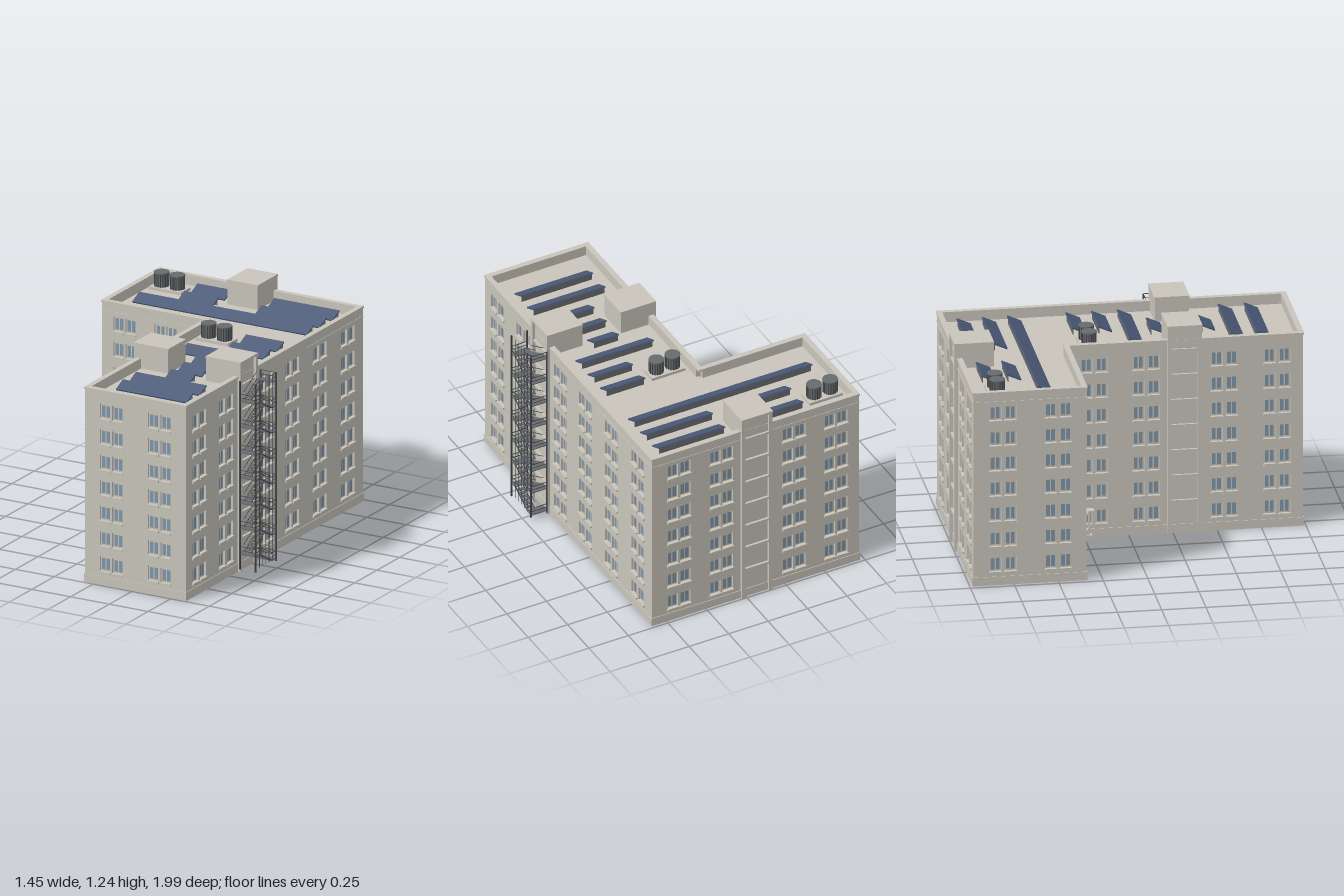
import * as THREE from 'three';
import { mergeGeometries } from 'three/addons/utils/BufferGeometryUtils.js';

const FLOORS = 7, STOREY = 0.15, FIRST_SILL = 0.07, TOP = 1.15, DECK = 1.09, WALL = 0.027;
const X0 = -0.72, XM = -0.06, X1 = 0.59, Z0 = -0.98, ZM = -0.34, Z1 = 0.985;

export function createModel() {
  const mat = (name, color) => Object.assign(new THREE.MeshStandardMaterial({ color }), { name });
  const masonry = mat('masonry', 0xc9c5bb);
  const glass = mat('window glass', 0x7f96a8);
  const solar = mat('solar blue', 0x4b5a78);
  const metal = mat('grey metal', 0x686b6e);
  const iron = mat('dark iron', 0x45484b);

  const model = new THREE.Group();
  model.name = 'apartmentBlock';

  // Helpers: placed box, beam between two points, merged mesh
  const box = (w, h, d, x, y, z) => new THREE.BoxGeometry(w, h, d).translate(x, y, z);
  const span = (xa, xb, ya, yb, za, zb) =>
    box(xb - xa, yb - ya, zb - za, (xa + xb) / 2, (ya + yb) / 2, (za + zb) / 2);
  const beam = (a, b, t) => {
    const p = new THREE.Vector3(...a), q = new THREE.Vector3(...b);
    const o = new THREE.Object3D();
    o.position.copy(p).add(q).multiplyScalar(0.5);
    o.lookAt(q);
    o.updateMatrix();
    return new THREE.BoxGeometry(t, t, p.distanceTo(q)).applyMatrix4(o.matrix);
  };
  const add = (name, geometry, material, parent = model) => {
    const geo = Array.isArray(geometry) ? mergeGeometries(geometry) : geometry;
    const mesh = new THREE.Mesh(geo, material);
    mesh.name = name;
    parent.add(mesh);
    return mesh;
  };

  // L-shaped plan grown by o, as (x, -z) points
  const plan = (o) => [
    [X0 - o, ZM + o], [XM - o, ZM + o], [XM - o, Z1 + o],
    [X1 + o, Z1 + o], [X1 + o, Z0 - o], [X0 - o, Z0 - o],
  ].map(([x, z]) => new THREE.Vector2(x, -z));
  const slab = (outer, inner, y, h) => {
    const shape = new THREE.Shape(plan(outer));
    if (inner !== null) shape.holes.push(new THREE.Path(plan(inner)));
    return new THREE.ExtrudeGeometry(shape, { depth: h, bevelEnabled: false })
      .rotateX(-Math.PI / 2).translate(0, y, 0);
  };
  add('roofDeck', slab(-0.01, null, DECK - 0.02, 0.02), masonry);
  add('parapetCoping', slab(0.005, -WALL, TOP - 0.012, 0.012), masonry);
  add('plinth', slab(0.004, -WALL - 0.003, 0, 0.05), masonry);

  // Thin string course around the rear wing
  add('stringCourse', [
    span(X0 - 0.003, XM, DECK - 0.003, DECK + 0.003, ZM, ZM + 0.003),
    span(X0 - 0.003, X1 + 0.003, DECK - 0.003, DECK + 0.003, Z0 - 0.003, Z0),
    span(X0 - 0.003, X0, DECK - 0.003, DECK + 0.003, Z0, ZM),
    span(X1, X1 + 0.003, DECK - 0.003, DECK + 0.003, Z0, ZM),
  ], masonry);

  // A wall with real window openings; local +z faces outward
  const W = 0.066, H = 0.097;
  function facade(name, x, z, length, angle, columns, skip = () => false) {
    const wall = new THREE.Group();
    wall.name = name;
    wall.position.set(x, 0, z);
    wall.rotation.y = angle;
    const shape = new THREE.Shape([[-1, 0], [1, 0], [1, TOP - 0.006], [-1, TOP - 0.006]]
      .map(([u, v]) => new THREE.Vector2(u * length / 2, v)));
    const frames = [], panes = [], sills = [];
    for (const u of columns) for (let i = 0; i < FLOORS; i++) {
      if (skip(u, i)) continue;
      const y = FIRST_SILL + i * STOREY, l = u - W / 2, r = u + W / 2;
      shape.holes.push(new THREE.Path([[l, y], [l, y + H], [r, y + H], [r, y]]
        .map((p) => new THREE.Vector2(...p))));
      frames.push(box(W, H, 0.006, u, y + H / 2, -0.016));
      sills.push(box(W + 0.008, 0.012, 0.026, u, y + 0.004, -0.004));
      for (const s of [-1, 1]) panes.push(box(0.021, 0.066, 0.009, u + s * 0.0145, y + 0.052, -0.016));
    }
    add('wall', new THREE.ExtrudeGeometry(shape, { depth: WALL, bevelEnabled: false })
      .translate(0, 0, -WALL), masonry, wall);
    add('windowFrames', frames, masonry, wall);
    add('windowPanes', panes, glass, wall);
    add('windowSills', sills, masonry, wall);
    model.add(wall);
  }

  // Window columns come in pairs around each centre
  const pairs = (centres, gap) => centres.flatMap((c) => [c - gap / 2, c + gap / 2]);
  const local = (columns, centre, sign) => columns.map((c) => (c - centre) * sign);
  const frontZ = [0.838, 0.54, 0.099, -0.195], rearZ = [-0.5, -0.812];
  const xc = (X0 + X1) / 2, zc = (Z0 + Z1) / 2, half = Math.PI / 2;
  const wingX = (XM + X1) / 2, rearX = (X0 + XM) / 2, rearMid = (Z0 + ZM) / 2, frontMid = (ZM + Z1) / 2;
  facade('frontWall', wingX, Z1, X1 - XM, 0, local(pairs([0.108, 0.418], 0.08), wingX, 1));
  facade('rearWingFrontWall', rearX, ZM, XM - X0, 0,
    local([...pairs([-0.575, -0.31], 0.077), -0.11], rearX, 1), (u, i) => i === 0 && u + rearX > -0.2);
  facade('leftHandWall', X1, zc, Z1 - Z0, half, local(pairs([...frontZ, ...rearZ], 0.085), zc, -1));
  facade('backWall', xc, Z0, X1 - X0, Math.PI,
    local(pairs([0.418, 0.15, -0.31, -0.575], 0.08), xc, -1));
  facade('rearWingEndWall', X0, rearMid, ZM - Z0, -half, local(pairs(rearZ, 0.085), rearMid, 1));
  facade('courtWall', XM, frontMid, Z1 - ZM, -half, local(pairs(frontZ, 0.085), frontMid, 1));

  // Stair shafts: rooftop hut, twin pilasters and a ledge on each floor
  for (const [name, x, z, angle] of [
    ['backShaft', -0.067, Z0, Math.PI], ['courtShaft', XM, 0.315, -half], ['escapeShaft', X1, 0.315, half],
  ]) {
    const shaft = new THREE.Group();
    shaft.name = name;
    shaft.position.set(x, 0, z);
    shaft.rotation.y = angle;
    add('hut', span(-0.097, 0.097, DECK - 0.01, 1.225, -0.203, 0.003), masonry, shaft);
    add('hutCap', span(-0.099, 0.099, 1.222, 1.236, -0.205, 0.02), masonry, shaft);
    add('pilasters', [-1, 1].map((s) => box(0.022, 1.225, 0.024, s * 0.086, 0.6125, 0.007)), masonry, shaft);
    add('ledges', Array.from({ length: FLOORS }, (_, i) =>
      box(0.152, 0.014, 0.018, 0, 0.19 + i * STOREY, 0.005)), masonry, shaft);
    model.add(shaft);
  }

  // Corner entrance porch with stepped plan
  const porch = (inset, y0, y1) => [
    span(-0.18 + inset, XM, y0, y1, ZM, -0.285 - inset),
    span(-0.145 + inset, XM, y0, y1, ZM, -0.24 - inset),
    span(-0.11 + inset, XM, y0, y1, ZM, -0.2 - inset),
  ];
  add('porchCanopy', porch(0, 0.163, 0.174), masonry);
  add('porchSteps', [...porch(0.01, 0, 0.025), ...porch(0.022, 0.025, 0.055)], masonry);
  add('porchPosts', [[-0.152, -0.312], [-0.088, -0.228], [-0.117, -0.268]].map(([x, z]) =>
    box(0.008, 0.11, 0.008, x, 0.109, z)), masonry);
  add('porchDoor', box(0.06, 0.095, 0.008, -0.105, 0.103, ZM + 0.002), glass);

  // Solar panels: [z centre, x start, x end], low edge towards the front
  const rows = [
    [-0.845, -0.42, -0.2], [-0.845, 0.075, 0.495], [-0.702, -0.42, -0.2], [-0.702, 0.075, 0.495],
    [-0.56, -0.63, 0.495], [-0.23, 0.25, 0.495], [-0.085, 0.25, 0.495], [0.06, 0.04, 0.495],
    [0.2, 0.185, 0.345], [0.345, 0.185, 0.345], [0.487, 0.185, 0.345], [0.63, 0.04, 0.495], [0.775, 0.04, 0.495],
  ];
  const panels = [], racks = [];
  for (const [z, a, b] of rows) {
    panels.push(new THREE.BoxGeometry(b - a, 0.008, 0.086).rotateX(0.42).translate((a + b) / 2, DECK + 0.026, z));
    racks.push(box(b - a - 0.01, 0.036, 0.004, (a + b) / 2, DECK + 0.018, z - 0.033));
  }
  add('solarPanels', panels, solar);
  add('panelRacks', racks, metal);

  // Rooftop cooling units in pairs on a pad
  for (const [x, z] of [[-0.568, -0.828], [0.096, -0.207]]) {
    add('coolerPad', box(0.21, 0.018, 0.105, x, DECK + 0.008, z), masonry);
    for (const s of [-1, 1]) {
      const drum = add('coolerDrum', new THREE.CylinderGeometry(0.04, 0.04, 0.09, 18), metal);
      drum.position.set(x + s * 0.051, 1.143, z);
      const fins = [];
      for (let i = 0; i < 18; i++) {
        fins.push(box(0.005, 0.082, 0.004, 0, 1.141, 0.041).rotateY(i * Math.PI / 9).translate(x + s * 0.051, 0, z));
      }
      add('coolerFins', fins, iron);
      add('coolerLid', new THREE.CylinderGeometry(0.044, 0.044, 0.006, 18), metal).position.set(x + s * 0.051, 1.187, z);
    }
  }

  // Fire escape: switchback flights between two stacks of landings
  const xa = 0.615, xm = 0.667, xb = 0.719, zNear = 0.39, zFar = 0.25;
  const treads = [], landings = [], rails = [], posts = [];
  const flight = (x0, x1, za, ya, zb, yb) => {
    for (let k = 1; k < 7; k++) {
      const t = k / 7, z = za + (zb - za) * t, y = ya + (yb - ya) * t;
      treads.push(span(x0 + 0.003, x1 - 0.003, y - 0.002, y + 0.002, z - 0.011, z + 0.011));
    }
    for (const x of [x0 + 0.003, x1 - 0.003]) {
      rails.push(beam([x, ya, za], [x, yb, zb], 0.005));
      rails.push(beam([x, ya + 0.045, za], [x, yb + 0.045, zb], 0.003));
    }
  };
  for (let i = 0; i <= FLOORS; i++) {
    const y = 0.04 + i * STOREY;
    const landing = (za, zb, h, edge) => {
      landings.push(span(xa, xb, h - 0.003, h + 0.003, za, zb));
      for (const r of [0.022, 0.045]) {
        rails.push(beam([xb, h + r, za], [xb, h + r, zb], 0.003));
        rails.push(beam([xa, h + r, edge], [xb, h + r, edge], 0.003));
      }
    };
    landing(0.205, zFar, y, 0.205);
    if (i === FLOORS) continue;
    landing(zNear, 0.435, y + STOREY / 2, 0.435);
    flight(xm, xb, zFar, y, zNear, y + STOREY / 2);
    flight(xa, xm, zNear, y + STOREY / 2, zFar, y + STOREY);
  }
  for (const z of [0.205, 0.435]) for (const x of [xa + 0.004, xb]) posts.push(span(x - 0.004, x + 0.004, 0.025, 1.135, z - 0.004, z + 0.004));
  for (const z of [zFar, 0.285, 0.32, 0.355, zNear]) posts.push(span(xb - 0.0015, xb + 0.0015, 0.04, 1.135, z - 0.0015, z + 0.0015));
  const escape = new THREE.Group();
  escape.name = 'fireEscape';
  add('treads', treads, metal, escape);
  add('landings', landings, metal, escape);
  add('rails', rails, iron, escape);
  add('posts', posts, iron, escape);
  model.add(escape);
  return model;
}
